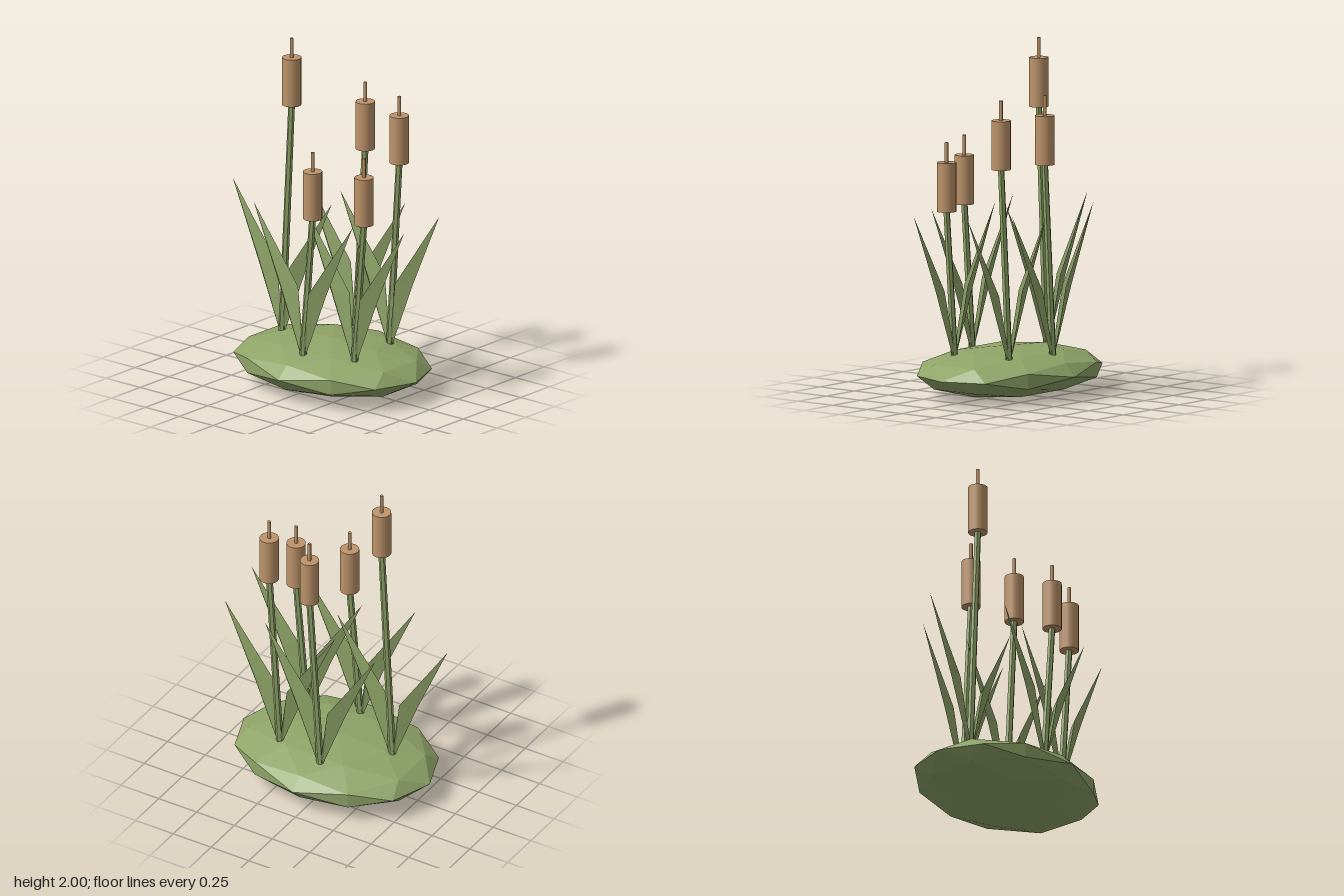
import * as THREE from 'three';

const green = new THREE.MeshStandardMaterial({ color: 0x8fa468, flatShading: true });
green.name = 'reed green';
const leafGreen = green.clone();
leafGreen.name = 'leaf green';
leafGreen.side = THREE.DoubleSide;
const brown = new THREE.MeshStandardMaterial({ color: 0xbe946a });
brown.name = 'cattail brown';

const BASE_Y = 0.245; // where stems and leaves leave the mound
const LEAN = 0.07; // sideways lean of each stem

function part(name, geometry, material, x = 0, y = 0, z = 0) {
  const mesh = new THREE.Mesh(geometry, material);
  mesh.name = name;
  mesh.position.set(x, y, z);
  return mesh;
}

// Folded blade leaning towards -x: foot, spine bend, two wide corners, tip
function leafGeometry() {
  const footBack = [-0.006, 0, -0.012];
  const footFront = [-0.006, 0, 0.012];
  const footSpine = [-0.018, 0, 0];
  const spine = [-0.168, 0.385, 0];
  const back = [-0.07, 0.385, -0.038];
  const front = [-0.135, 0.385, 0.038];
  const tip = [-0.365, 0.835, 0];
  const triangles = [
    footSpine, spine, back, footSpine, back, footBack, spine, tip, back,
    footSpine, footFront, front, footSpine, front, spine, spine, front, tip,
  ];
  const geometry = new THREE.BufferGeometry();
  geometry.setAttribute('position', new THREE.Float32BufferAttribute(triangles.flat(), 3));
  geometry.computeVertexNormals();
  return geometry;
}

// Slim six-sided stem, sheared so that its ends stay level
function stemGeometry(height) {
  const geometry = new THREE.CylinderGeometry(0.019, 0.021, height, 6);
  geometry.translate(0, height / 2, 0);
  const p = geometry.attributes.position;
  for (let i = 0; i < p.count; i++) p.setX(i, p.getX(i) + (LEAN * p.getY(i)) / height);
  geometry.computeVertexNormals();
  return geometry;
}

const leaf = leafGeometry();
const headShape = new THREE.CylinderGeometry(0.055, 0.055, 0.28, 16);
const spikeShape = new THREE.CylinderGeometry(0.0105, 0.0105, 0.12, 8);

// One cattail: stem, seed head, spike and a pair of leaves
function createReed(headX, z, headY) {
  const reed = new THREE.Group();
  reed.name = 'reed';
  reed.position.set(headX - LEAN, BASE_Y, z);
  const h = headY - BASE_Y;
  reed.add(part('stem', stemGeometry(h + 0.01), green));
  reed.add(part('seedHead', headShape, brown, LEAN, h + 0.14, 0));
  reed.add(part('spike', spikeShape, brown, LEAN, h + 0.333, 0));
  for (const turn of [0, Math.PI]) {
    const blade = part('leaf', leaf, leafGreen);
    blade.rotation.y = turn;
    reed.add(blade);
  }
  return reed;
}

export function createModel() {
  const model = new THREE.Group();
  model.name = 'cattailClump';

  // Faceted grassy mound
  const mound = new THREE.IcosahedronGeometry(1, 1);
  mound.scale(0.615, 0.14, 0.472);
  mound.computeVertexNormals();
  model.add(part('mound', mound, green, 0.035, 0.146, 0));

  // Head x, z and underside height of each cattail
  const reeds = [
    [-0.25, 0.02, 1.61],
    [0.05, -0.267, 1.34],
    [0.358, -0.2, 1.34],
    [0.113, 0.266, 1.073],
    [0.402, 0.16, 1.073],
  ];
  for (const [x, z, y] of reeds) model.add(createReed(x, z, y));
  return model;
}
